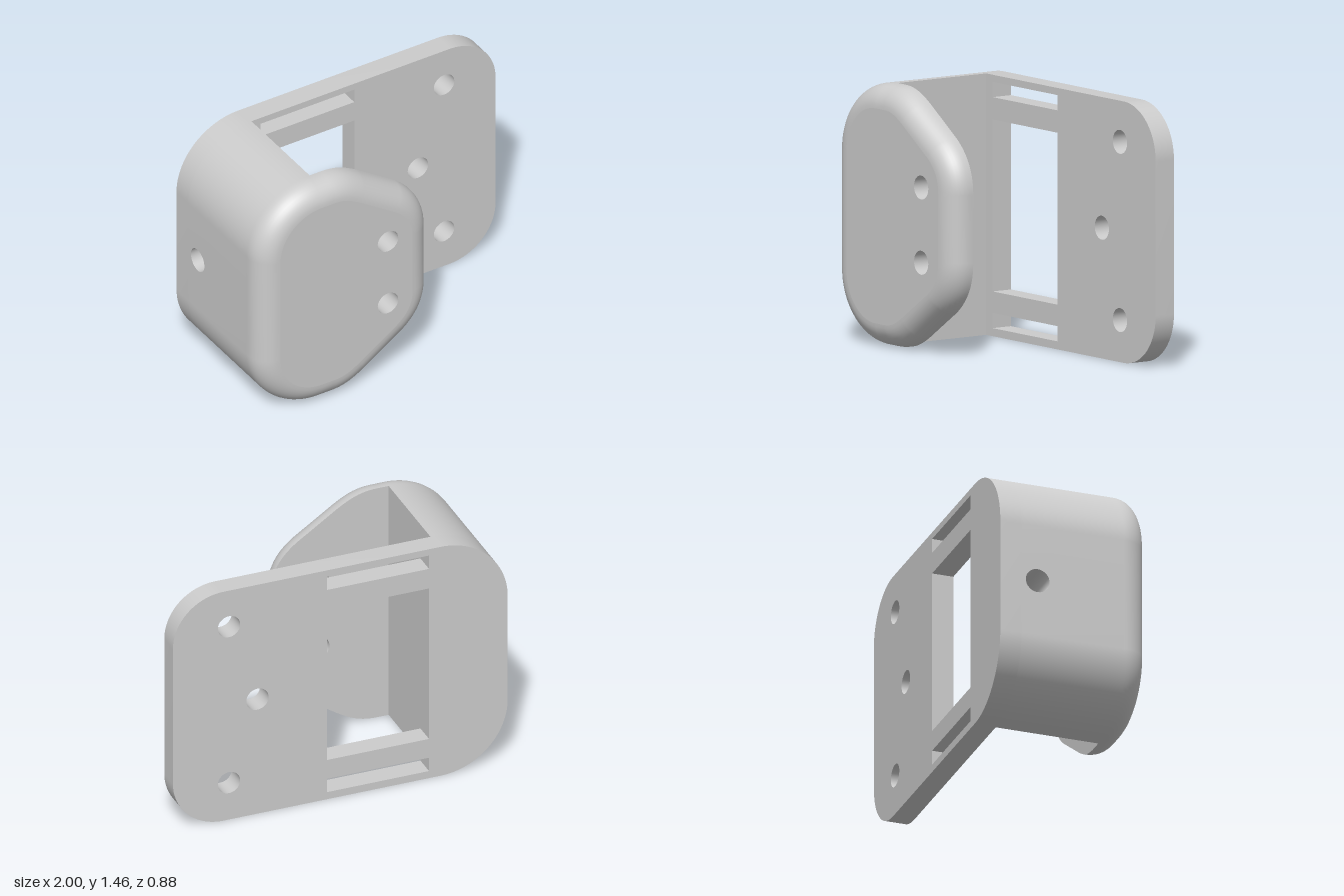
import * as THREE from 'three';
import { toCreasedNormals } from 'three/addons/utils/BufferGeometryUtils.js';

const H = 1.46, MID = H / 2, LEFT_R = 0.4;
const BACK = -0.44, INNER_BACK = -0.315, INNER_FRONT = 0.29, FRONT = 0.435;
const HOLE_R = 0.067;
const material = new THREE.MeshStandardMaterial({ color: 0xcccccc });
const wallMaterial = new THREE.MeshStandardMaterial({ color: 0xcccccc, side: THREE.DoubleSide });

function circleHole(x, y, r = HOLE_R) {
  return new THREE.Path().absarc(x, y, r, 0, Math.PI * 2, true);
}

function rectPath(x0, y0, x1, y1, Type = THREE.Path) {
  return new Type([[x0, y0], [x1, y0], [x1, y1], [x0, y1]].map(p => new THREE.Vector2(...p)));
}

function extrude(shape, z0, z1) {
  const g = new THREE.ExtrudeGeometry(shape, { depth: z1 - z0, bevelEnabled: false, curveSegments: 16 });
  return toCreasedNormals(g.translate(0, 0, z0), 0.6);
}

function add(group, name, geometry, mat = material) {
  const mesh = new THREE.Mesh(geometry, mat);
  mesh.name = name;
  group.add(mesh);
}

// Finishes an outline with the two large rounded corners on the x = -1 side
function closeLeftSide(shape, notch) {
  shape.lineTo(-1 + LEFT_R, H);
  shape.absarc(-1 + LEFT_R, H - LEFT_R, LEFT_R, Math.PI / 2, Math.PI, false);
  if (notch) for (const [x, y] of notch) shape.lineTo(x, y);
  shape.lineTo(-1, LEFT_R);
  shape.absarc(-1 + LEFT_R, LEFT_R, LEFT_R, Math.PI, Math.PI * 1.5, false);
  return shape;
}

// Plate with window, two strap slots and three screw holes
function backPlateShape() {
  const r = 0.3;
  const s = new THREE.Shape().moveTo(-1 + LEFT_R, 0);
  s.lineTo(1 - r, 0);
  s.absarc(1 - r, r, r, -Math.PI / 2, 0, false);
  s.lineTo(1, H - r);
  s.absarc(1 - r, H - r, r, 0, Math.PI / 2, false);
  closeLeftSide(s);
  s.holes.push(
    rectPath(-0.53, 0.25, 0.08, 1.21),
    rectPath(-0.53, 0.045, 0.08, 0.13),
    rectPath(-0.53, 1.335, 0.08, 1.42),
    circleHole(0.665, 0.235), circleHole(0.665, 1.23), circleHole(0.495, MID));
  return s;
}

// Tapered pad outline, mirrored about mid height
function padShape() {
  const s = new THREE.Shape().moveTo(-1 + LEFT_R, 0);
  s.lineTo(-0.52, 0);
  s.bezierCurveTo(-0.42, 0, -0.36, 0.03, -0.28, 0.08);
  s.lineTo(-0.04, 0.24);
  s.bezierCurveTo(0.07, 0.32, 0.12, 0.42, 0.12, 0.54);
  s.lineTo(0.12, H - 0.54);
  s.bezierCurveTo(0.12, H - 0.42, 0.07, H - 0.32, -0.04, H - 0.24);
  s.lineTo(-0.28, H - 0.08);
  s.bezierCurveTo(-0.36, H - 0.03, -0.42, H, -0.52, H);
  return closeLeftSide(s);
}

// Moves a counter-clockwise outline inwards
function inset(points, d) {
  const n = points.length;
  return points.map((p, i) => {
    const a = points[(i + n - 1) % n], b = points[(i + 1) % n];
    const u = p.clone().sub(a).normalize(), v = b.clone().sub(p).normalize();
    const t = u.add(v).normalize();
    return new THREE.Vector2(p.x - t.y * d, p.y + t.x * d);
  });
}

// Pad side wall: straight at the back, quarter-round at the front
function padRim(points, radius) {
  const rings = [{ d: 0, z: INNER_FRONT }], steps = 10;
  for (let k = 0; k <= steps; k++) {
    const a = k / steps * Math.PI / 2;
    rings.push({ d: radius * (1 - Math.cos(a)), z: FRONT - radius * (1 - Math.sin(a)) });
  }
  const n = points.length, position = [], index = [];
  for (const { d, z } of rings) for (const p of inset(points, d)) position.push(p.x, p.y, z);
  for (let k = 0; k < rings.length - 1; k++) {
    for (let i = 0; i < n; i++) {
      const a = k * n + i, b = k * n + (i + 1) % n;
      index.push(a, b, b + n, a, b + n, a + n);
    }
  }
  const g = new THREE.BufferGeometry();
  g.setAttribute('position', new THREE.Float32BufferAttribute(position, 3));
  g.setIndex(index);
  g.computeVertexNormals();
  return g;
}

export function createModel() {
  const model = new THREE.Group();
  model.name = 'bracket';

  add(model, 'backPlate', extrude(backPlateShape(), BACK, INNER_BACK));

  // Thick web joining the plates, with a blind hole in its outer side
  const y0 = 0.6, y1 = 0.86, depth = 0.25;
  const web = new THREE.Shape().moveTo(-1 + LEFT_R, 0);
  web.lineTo(-0.59, 0);
  web.lineTo(-0.59, H);
  closeLeftSide(web, [[-1, y1], [-1 + depth, y1], [-1 + depth, y0], [-1, y0]]);
  add(model, 'web', extrude(web, INNER_BACK, INNER_FRONT));

  const block = rectPath(-INNER_FRONT, y0, -INNER_BACK, y1, THREE.Shape);
  block.holes.push(circleHole(0.22, MID, 0.07));
  add(model, 'webHoleBlock', extrude(block, -1, -1 + depth).rotateY(Math.PI / 2));

  // Front pad
  const pad = new THREE.Group();
  pad.name = 'frontPad';
  model.add(pad);
  const radius = 0.13;
  let points = padShape().getPoints(16);
  points = points.filter((p, i) => p.distanceTo(points[(i + 1) % points.length]) > 1e-4);
  const holeYs = [0.52, 0.94], holeX = -0.17;
  const face = d => {
    const s = new THREE.Shape(inset(points, d));
    for (const y of holeYs) s.holes.push(circleHole(holeX, y));
    return new THREE.ShapeGeometry(s, 16);
  };
  add(pad, 'padRim', padRim(points, radius));
  add(pad, 'padFrontFace', face(radius).translate(0, 0, FRONT));
  add(pad, 'padBackFace', face(0).rotateY(Math.PI).scale(-1, 1, 1).translate(0, 0, INNER_FRONT), wallMaterial);
  for (const y of holeYs) {
    const tube = new THREE.CylinderGeometry(HOLE_R, HOLE_R, FRONT - INNER_FRONT, 32, 1, true);
    tube.rotateX(Math.PI / 2).translate(holeX, y, (FRONT + INNER_FRONT) / 2);
    add(pad, 'padHoleWall', tube, wallMaterial);
  }
  return model;
}
